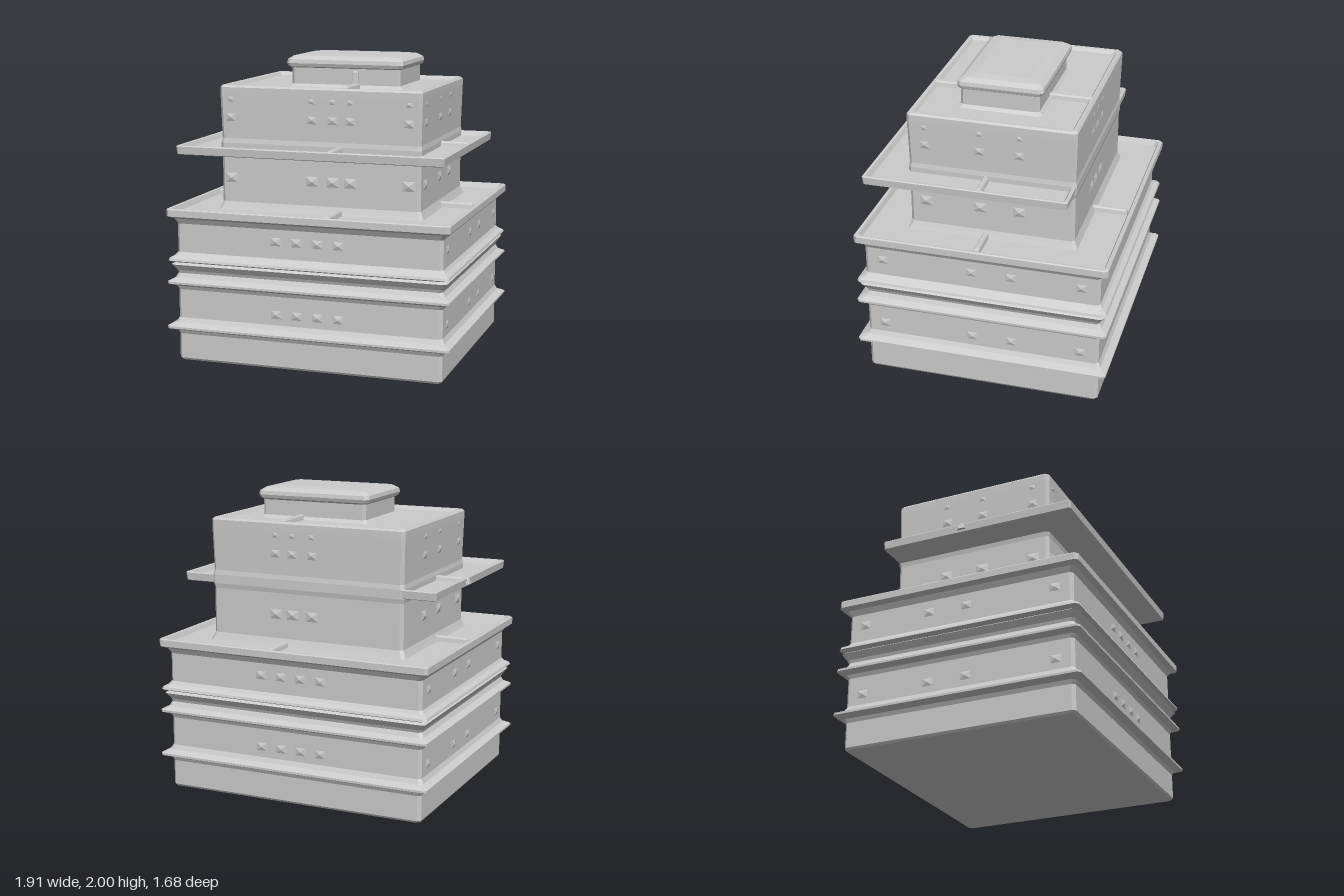
import * as THREE from 'three';

const material = new THREE.MeshStandardMaterial({ color: 0xcccccc, flatShading: true });

// Stacks chamfered rectangles: rect = [x0, x1, z0, z1], profile = [outset, y] from bottom to top
function loft(name, rect, profile, chamfer = 0.02) {
  const [x0, x1, z0, z1] = rect, c = chamfer;
  const pos = [], index = [], n = 8;
  for (const [o, y] of profile) {
    const a = x0 - o, b = x1 + o, d = z0 - o, e = z1 + o;
    const ring = [[a + c, e], [b - c, e], [b, e - c], [b, d + c], [b - c, d], [a + c, d], [a, d + c], [a, e - c]];
    for (const [x, z] of ring) pos.push(x, y, z);
  }
  for (let i = 0; i < profile.length - 1; i++) {
    for (let j = 0; j < n; j++) {
      const p = i * n + j, q = i * n + (j + 1) % n;
      index.push(p, q, q + n, p, q + n, p + n);
    }
  }
  const top = (profile.length - 1) * n;
  for (let j = 1; j < n - 1; j++) {
    index.push(0, j + 1, j, top, top + j, top + j + 1);
  }
  const geo = new THREE.BufferGeometry();
  geo.setAttribute('position', new THREE.Float32BufferAttribute(pos, 3));
  geo.setIndex(index);
  const flat = geo.toNonIndexed();
  flat.computeVertexNormals();
  const mesh = new THREE.Mesh(flat, material);
  mesh.name = name;
  return mesh;
}

// Projecting string course with a flared underside and top
const course = (y, out) => [
  [0, y - 0.05], [0.012, y - 0.025], [out, y - 0.006], [out, y + 0.008], [0.015, y + 0.03], [0, y + 0.06],
];

export function createModel() {
  const model = new THREE.Group();
  const add = (...args) => model.add(loft(...args));

  // Lower storeys with string courses, cornice and sunken terrace
  add('lowerStoreys', [-0.89, 0.90, -0.78, 0.78], [
    [-0.01, 0], [0, 0.015],
    ...course(0.23, 0.06), ...course(0.53, 0.055),
    [0.008, 0.61], [0.035, 0.65], [0.015, 0.663], [0.05, 0.677], [0.045, 0.692], [0.015, 0.71], [0, 0.73],
    [0, 0.92], [0.02, 0.955], [0.055, 0.972], [0.055, 1.015], [0.048, 1.022], [0.03, 1.02], [0.015, 0.988],
  ]);

  // Upper tower with roof parapet
  add('upperTower', [-0.67, 0.685, -0.558, 0.53], [
    [0.025, 0.98], [0.012, 1.01], [0, 1.04], [0, 1.34], [0.006, 1.37], [0.006, 1.43], [0, 1.46],
    [0.008, 1.75], [0.008, 1.795], [-0.003, 1.808], [-0.025, 1.806], [-0.04, 1.785],
  ]);

  // Balcony around three sides, ending at the back wall
  add('balcony', [-0.88, 0.89, -0.55, 0.765], [
    [-0.01, 1.37], [0.005, 1.376], [0.01, 1.425], [0.004, 1.431], [-0.012, 1.429], [-0.03, 1.398],
  ], 0.012);

  // Rooftop hut and overhanging cap
  add('roofHut', [-0.28, 0.465, -0.265, 0.25], [[0.025, 1.78], [0, 1.805], [0, 1.92]]);
  add('roofCap', [-0.31, 0.485, -0.293, 0.268], [
    [-0.03, 1.905], [-0.005, 1.918], [0.003, 1.94], [-0.002, 1.965], [-0.035, 1.988], [-0.10, 1.996],
  ], 0.025);

  // Low ridges that divide the terrace, balcony and roof
  const ridge = (name, rect, y0, y1) => add(name, rect, [[0.008, y0], [0, y1 - 0.01], [-0.008, y1]], 0.004);
  for (const [z0, z1] of [[0.52, 0.79], [-0.79, -0.54]]) ridge('terraceDivider', [0.13, 0.165, z0, z1], 0.97, 1.025);
  for (const [x0, x1] of [[0.68, 0.91], [-0.90, -0.66]]) {
    ridge('terraceDivider', [x0, x1, 0.005, 0.04], 0.97, 1.025);
    ridge('balconyDivider', [x0, x1 * 0.96, 0.0, 0.035], 1.39, 1.43);
  }
  ridge('balconyDivider', [0.13, 0.165, 0.52, 0.74], 1.39, 1.435);
  for (const [z0, z1] of [[0.24, 0.515], [-0.545, -0.25]]) ridge('roofDivider', [0.16, 0.195, z0, z1], 1.77, 1.82);
  ridge('dividerPost', [0.15, 0.185, 0.24, 0.27], 1.78, 1.9);

  // Shallow faceted window relief
  const facet = new THREE.ConeGeometry(0.06, 0.012, 4, 1, true).rotateY(Math.PI / 4).rotateX(Math.PI / 2);
  const windows = new THREE.Group();
  windows.name = 'windowRelief';
  const relief = (x, y, z, turn) => {
    const mesh = new THREE.Mesh(facet, material);
    mesh.name = 'windowFacet';
    mesh.position.set(x, y, z);
    mesh.rotation.y = turn;
    mesh.scale.set(1, 0.75, 1);
    windows.add(mesh);
  };
  const quarter = Math.PI / 2;
  for (const y of [0.36, 0.84]) {
    for (const x of [-0.2, -0.06, 0.08, 0.22]) {
      relief(x, y, 0.784, 0);
      relief(x, y, -0.784, Math.PI);
    }
    for (const z of [-0.66, -0.2, 0.06, 0.66]) {
      relief(0.904, y, z, quarter);
      relief(-0.894, y, z, -quarter);
    }
  }
  for (const y of [1.2, 1.6, 1.72]) {
    for (const x of [-0.6, -0.04, 0.1, 0.22, 0.61]) {
      relief(x, y, 0.537, 0);
      if (Math.abs(x) < 0.5) relief(x, y, -0.565, Math.PI);
    }
    for (const z of [-0.2, 0.06, 0.42]) {
      relief(0.692, y, z, quarter);
      relief(-0.677, y, z, -quarter);
    }
  }
  model.add(windows);
  return model;
}
